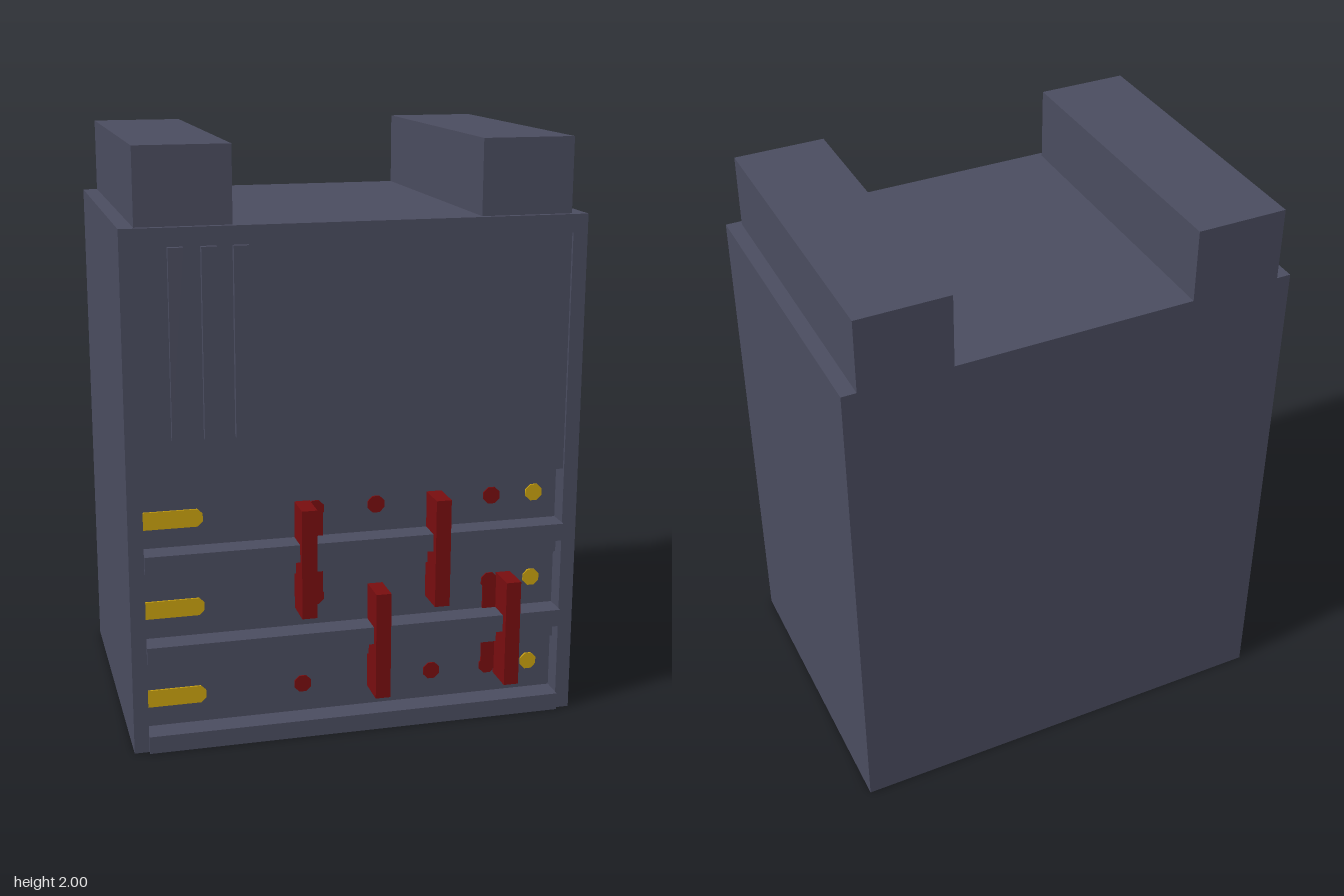
import * as THREE from 'three';

export function createModel() {
  const root = new THREE.Group();
  root.name = 'equipmentCabinet';
  const mat = (name, color) => {
    const m = new THREE.MeshStandardMaterial({ color });
    m.name = name;
    return m;
  };
  const slate = mat('slate', 0x4a4c5f);
  const red = mat('darkRed', 0x780d0f);
  const yellow = mat('amber', 0xc9a110);
  const backZ = 0.45; // rear wall of the front bays

  const add = (name, geometry, material) => {
    const m = new THREE.Mesh(geometry, material);
    m.name = name;
    root.add(m);
    return m;
  };
  // Box given by its limits on each axis
  const box = (name, material, x0, x1, y0, y1, z0, z1) => {
    const m = add(name, new THREE.BoxGeometry(x1 - x0, y1 - y0, z1 - z0), material);
    m.position.set((x0 + x1) / 2, (y0 + y1) / 2, (z0 + z1) / 2);
    return m;
  };
  // Thin octagonal dot on the bay wall
  const dot = (name, material, x, y) => {
    const g = new THREE.CylinderGeometry(0.031, 0.031, 0.006, 8);
    g.rotateY(Math.PI / 8);
    g.rotateX(Math.PI / 2);
    add(name, g, material).position.set(x, y, backZ + 0.003);
  };

  // Outer casing: an arch open at the bottom, running front to back
  const arch = new THREE.Shape([
    [-0.77, 0], [-0.72, 0], [-0.72, 1.69], [0.72, 1.69],
    [0.72, 0], [0.77, 0], [0.77, 1.75], [-0.77, 1.75],
  ].map(([x, y]) => new THREE.Vector2(x, y)));
  const casing = new THREE.ExtrudeGeometry(arch, { depth: 1.08, bevelEnabled: false });
  add('casing', casing, slate).position.z = -0.56;
  box('core', slate, -0.72, 0.72, 0, 1.69, -0.56, backZ);

  // Top rails
  for (const s of [-1, 1]) {
    box('topRail', slate, s * 0.565 - 0.155, s * 0.565 + 0.155, 1.75, 2, -0.56, 0.5);
  }

  // Upper front panel with vertical slats
  box('upperPanel', slate, -0.72, 0.72, 0.88, 1.69, backZ, 0.51);
  for (const x of [-0.595, -0.49, -0.388]) {
    box('slat', slate, x - 0.025, x + 0.025, 1.07, 1.688, 0.505, 0.53);
  }

  // Shelves between the bays, with a shallow strip under the upper two
  for (const y of [0, 0.315, 0.63]) {
    box('shelf', slate, -0.72, 0.72, y, y + 0.06, backZ, 0.535);
    if (y > 0) box('shelfStrip', slate, -0.72, 0.72, y - 0.062, y, backZ, 0.47);
  }

  // Yellow markings, one row in each bay
  const rows = [0.16, 0.475, 0.785];
  for (const y of rows) {
    const tab = new THREE.Shape([
      [-0.72, -0.03], [-0.532, -0.03], [-0.515, -0.013],
      [-0.515, 0.013], [-0.532, 0.03], [-0.72, 0.03],
    ].map(([x, v]) => new THREE.Vector2(x, v)));
    const g = new THREE.ExtrudeGeometry(tab, { depth: 0.006, bevelEnabled: false });
    add('yellowStripe', g, yellow).position.set(0, y, backZ);
    dot('yellowDot', yellow, 0.638, y);
  }

  // Red switch dots
  for (const [x, y] of [
    [0.075, 0.785], [0.485, 0.785], [-0.18, 0.16], [0.28, 0.16],
    [-0.135, 0.785], [-0.135, 0.475], [0.485, 0.475], [0.485, 0.16],
  ]) dot('redDot', red, x, y);

  // Red slots on the bay wall
  box('redSlot', red, -0.16, -0.11, 0.475, 0.785, backZ, backZ + 0.006);
  box('redSlot', red, 0.462, 0.512, 0.16, 0.475, backZ, backZ + 0.006);

  // Red upright levers bridging two bays
  for (const [x, y] of [[-0.18, 0.44], [0.28, 0.44], [0.075, 0.127], [0.536, 0.127]]) {
    box('lever', red, x - 0.026, x + 0.026, y, y + 0.375, backZ, 0.563);
  }
  return root;
}
